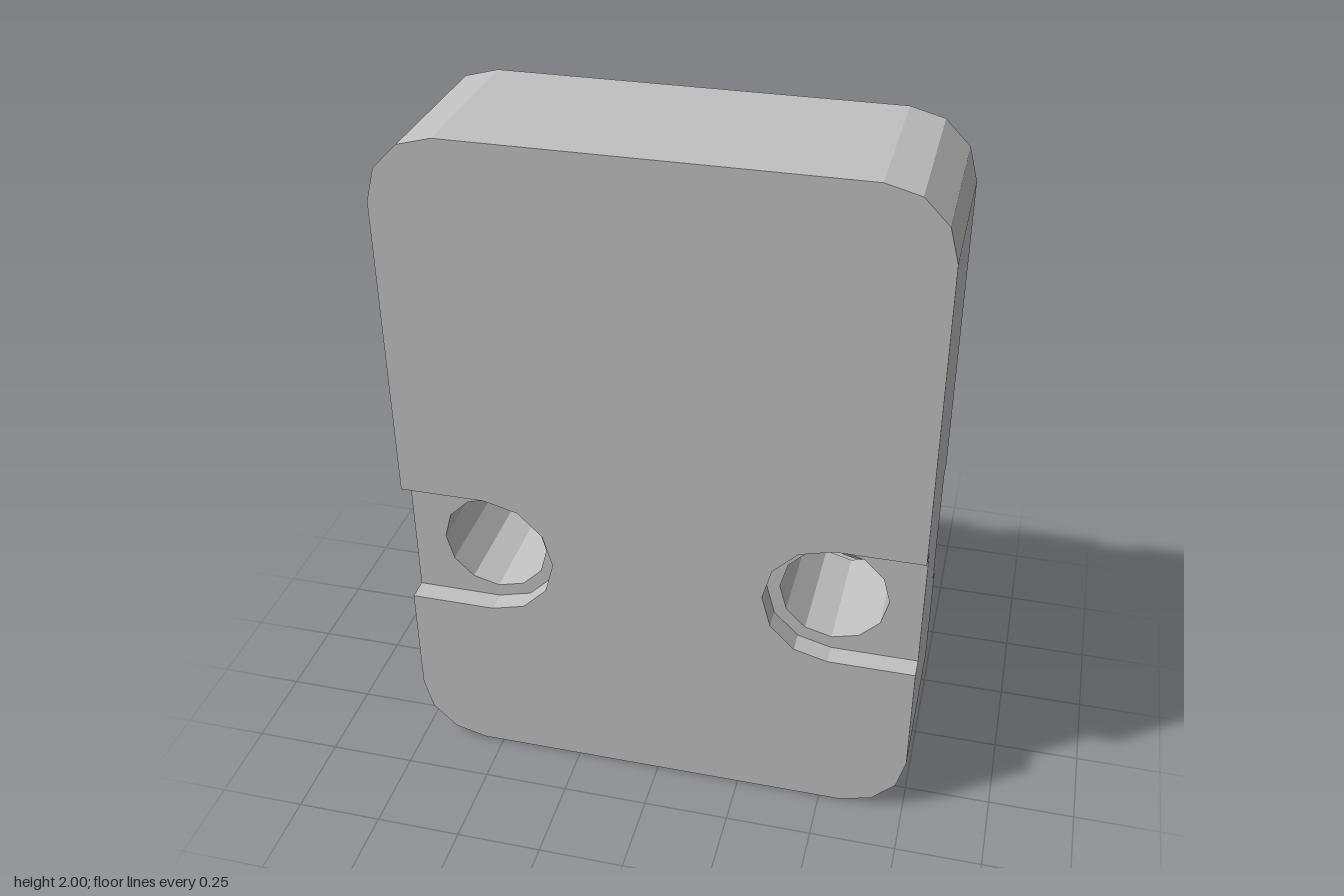
import * as THREE from 'three';

const W = 0.75, H = 2, R = 0.19;             // plate half width, height, corner radius
const HOLE_X = 0.5, HOLE_Y = 0.722;          // screw hole centre
const HOLE_R = 0.155, SLOT_R = 0.194;
const Z_BACK = -0.155, Z_FRONT = 0.343, RECESS = 0.064;

// points on an arc, angles in degrees, one facet every 30 degrees
function arc(cx, cy, r, from, to) {
  const n = Math.round(Math.abs(to - from) / 30);
  return Array.from({ length: n + 1 }, (_, i) => {
    const a = THREE.MathUtils.degToRad(from + ((to - from) * i) / n);
    return new THREE.Vector2(cx + r * Math.cos(a), cy + r * Math.sin(a));
  });
}

// rounded outline, optionally with a round-ended slot cut in from each side
function outline(slots) {
  const slot = (side, from, to) => {
    if (!slots) return [];
    const s = Math.sign(to - from);
    const edge = (dy) => new THREE.Vector2(side * W, HOLE_Y + dy * SLOT_R);
    return [edge(side * s), ...arc(side * HOLE_X, HOLE_Y, SLOT_R, from, to), edge(-side * s)];
  };
  return new THREE.Shape([
    ...arc(W - R, R, R, -90, 0),
    ...slot(1, 270, 90),
    ...arc(W - R, H - R, R, 0, 90),
    ...arc(-W + R, H - R, R, 90, 180),
    ...slot(-1, 90, -90),
    ...arc(-W + R, R, R, 180, 270),
  ]);
}

export function createModel() {
  const group = new THREE.Group();
  const grey = new THREE.MeshStandardMaterial({ color: 0xc0c0c0, flatShading: true });
  grey.name = 'plainGrey';

  const add = (name, geometry, x, y, z) => {
    const mesh = new THREE.Mesh(geometry, grey);
    mesh.name = name;
    mesh.position.set(x, y, z);
    group.add(mesh);
  };
  const layer = (name, shape, z0, z1) =>
    add(name, new THREE.ExtrudeGeometry(shape, { depth: z1 - z0, bevelEnabled: false }), 0, 0, z0);

  // plate: a drilled core between two slotted faces
  const core = outline(false);
  for (const side of [-1, 1]) {
    core.holes.push(new THREE.Path(arc(side * HOLE_X, HOLE_Y, HOLE_R, 360, 30)));
  }
  layer('plateCore', core, Z_BACK + RECESS, Z_FRONT - RECESS);
  layer('plateFrontFace', outline(true), Z_FRONT - RECESS, Z_FRONT);
  layer('plateBackFace', outline(true), Z_BACK, Z_BACK + RECESS);

  // box standing out from the back of the plate
  const backBox = (name, x, y0, y1, width, depth) =>
    add(name, new THREE.BoxGeometry(width, y1 - y0, depth), x, (y0 + y1) / 2, Z_BACK - depth / 2);

  // three tall blocks and the low pad at the bottom edge
  ['rightBlock', 'middleBlock', 'leftBlock'].forEach((name, i) =>
    backBox(name, (i - 1) * 0.467, 1.035, 1.66, 0.31, 0.188));
  backBox('bottomPad', 0, 0, 0.44, 0.624, 0.064);

  return group;
}
